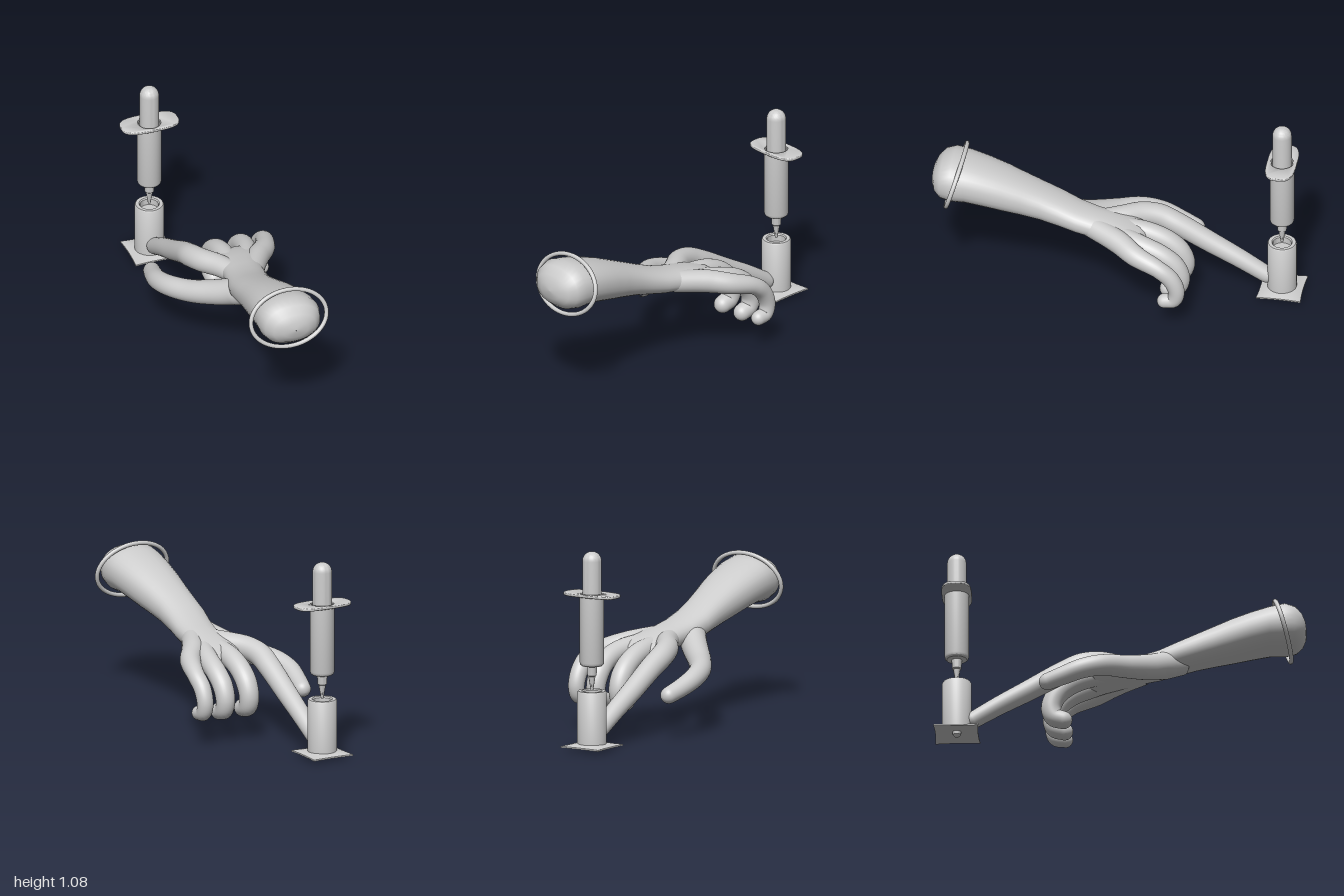
import * as THREE from 'three';
import { toCreasedNormals } from 'three/addons/utils/BufferGeometryUtils.js';

const V = (x, y, z) => new THREE.Vector3(x, y, z);
const SIDES = 32;

// Smooth skin over rings { c, t, rx, ry, n }: centre, direction, radii, squareness
function loft(rings) {
  const pos = [], idx = [];
  rings.forEach(({ c, t, rx, ry, n = 2 }, i) => {
    const s = V(1, 0, 0).addScaledVector(t, -t.x).normalize();
    const u = t.clone().cross(s);
    for (let j = 0; j < SIDES; j++) {
      const a = (j / SIDES) * Math.PI * 2;
      const f = (v) => Math.sign(v) * Math.abs(v) ** (2 / n);
      const p = c.clone().addScaledVector(s, rx * f(Math.cos(a))).addScaledVector(u, ry * f(Math.sin(a)));
      pos.push(p.x, p.y, p.z);
      if (i < rings.length - 1) {
        const k = (j + 1) % SIDES, a0 = i * SIDES + j, b0 = i * SIDES + k;
        idx.push(a0, b0, a0 + SIDES, b0, b0 + SIDES, a0 + SIDES);
      }
    }
  });
  const g = new THREE.BufferGeometry();
  g.setAttribute('position', new THREE.Float32BufferAttribute(pos, 3));
  g.setIndex(idx);
  g.computeVertexNormals();
  return g;
}

// Finger along points [x, y, z, radius] with a round tip
function finger(points) {
  const curve = new THREE.CatmullRomCurve3(points.map((p) => V(p[0], p[1], p[2])));
  const last = points.length - 1, steps = last * 6, rings = [];
  for (let i = 0; i <= steps; i++) {
    const t = i / steps, k = Math.min(Math.floor(t * last), last - 1);
    const r = THREE.MathUtils.lerp(points[k][3], points[k + 1][3], t * last - k);
    rings.push({ c: curve.getPoint(t), t: curve.getTangent(t), rx: r, ry: r });
  }
  const end = rings[steps];
  for (let i = 1; i <= 8; i++) {
    const a = (i / 8) * Math.PI / 2, r = Math.max(end.rx * Math.cos(a), 0.0005);
    rings.push({ c: end.c.clone().addScaledVector(end.t, end.rx * Math.sin(a)), t: end.t, rx: r, ry: r });
  }
  return loft(rings);
}

// Turned part with crisp edges from [radius, y] pairs
const turned = (profile) =>
  toCreasedNormals(new THREE.LatheGeometry(profile.map((p) => new THREE.Vector2(...p)), 40), 0.6);

export function createModel() {
  const model = new THREE.Group();
  const grey = new THREE.MeshStandardMaterial({ color: 0xcccccc });
  grey.name = 'plain grey';
  const add = (name, geometry, parent = model) => {
    const m = new THREE.Mesh(geometry, grey);
    m.name = name;
    parent.add(m);
    return m;
  };

  // Forearm, wrist and palm: z, centre x, centre y, half width, half height
  const arm = [
    [0.993, 0.04, 0.665, 0.001, 0.001], [0.988, 0.04, 0.665, 0.07, 0.045],
    [0.97, 0.04, 0.667, 0.12, 0.083], [0.935, 0.04, 0.671, 0.157, 0.117],
    [0.88, 0.04, 0.674, 0.172, 0.132], [0.8, 0.04, 0.667, 0.168, 0.123],
    [0.7, 0.038, 0.642, 0.158, 0.118], [0.6, 0.035, 0.612, 0.145, 0.112],
    [0.5, 0.031, 0.579, 0.13, 0.101], [0.4, 0.028, 0.545, 0.12, 0.09],
    [0.3, 0.03, 0.51, 0.118, 0.08], [0.2, 0.045, 0.48, 0.113, 0.071],
    [0.1, 0.06, 0.462, 0.108, 0.066], [0, 0.075, 0.445, 0.12, 0.065],
    [-0.08, 0.085, 0.43, 0.14, 0.058], [-0.14, 0.09, 0.42, 0.13, 0.048],
    [-0.17, 0.09, 0.415, 0.1, 0.03], [-0.182, 0.09, 0.413, 0.001, 0.001],
  ];
  const hand = new THREE.Group();
  hand.name = 'hand';
  model.add(hand);
  add('forearmAndPalm', loft(arm.map(([z, x, y, rx, ry]) =>
    ({ c: V(x, y, z), t: V(0, 0, -1), rx, ry, n: 2.25 }))), hand);

  add('thumb', finger([
    [0.03, 0.48, 0.33, 0.06], [-0.02, 0.45, 0.24, 0.075], [-0.1, 0.405, 0.15, 0.07],
    [-0.21, 0.36, 0.03, 0.062], [-0.29, 0.335, -0.09, 0.057], [-0.315, 0.305, -0.2, 0.054],
    [-0.305, 0.27, -0.3, 0.05], [-0.288, 0.243, -0.385, 0.046],
  ]), hand);
  add('indexFinger', finger([
    [0.03, 0.455, 0.1, 0.055], [-0.03, 0.45, -0.02, 0.06], [-0.095, 0.437, -0.12, 0.063],
    [-0.124, 0.415, -0.21, 0.063], [-0.126, 0.37, -0.31, 0.061], [-0.125, 0.265, -0.5, 0.056],
    [-0.122, 0.185, -0.65, 0.051], [-0.12, 0.1, -0.795, 0.046],
  ]), hand);

  // Three curled fingers share the same hook: knuckle, bend, tip
  const curled = (name, x, r, lift, root) => add(name, finger([
    ...root, [x, 0.375, -0.28, r], [x, 0.315, -0.35, r], [x, 0.24, -0.38, r * 0.95],
    [x, 0.185, -0.365, r * 0.9], [x, 0.163 + lift, -0.315, r * 0.85],
  ]), hand);
  curled('middleFinger', 0.04, 0.057, 0.003, [[0.04, 0.435, -0.05, 0.055], [0.04, 0.415, -0.18, 0.057]]);
  curled('ringFinger', 0.187, 0.055, 0.003, [[0.12, 0.44, -0.02, 0.055], [0.172, 0.415, -0.17, 0.056]]);
  curled('littleFinger', 0.313, 0.047, 0.01, [
    [0.1, 0.46, 0.12, 0.06], [0.19, 0.44, -0.04, 0.063], [0.27, 0.415, -0.15, 0.057]]);

  // Loose tilted bracelet
  const loop = Array.from({ length: 24 }, (_, i) => {
    const a = (i / 24) * Math.PI * 2;
    return V(0.0425 + 0.215 * Math.cos(a), 0.667 + 0.152 * Math.sin(a), 0.865 - 0.045 * Math.sin(a));
  });
  add('bracelet', new THREE.TubeGeometry(new THREE.CatmullRomCurve3(loop, true), 80, 0.012, 12, true));

  // Syringe standing above the fingertip
  const syringe = new THREE.Group();
  syringe.name = 'syringe';
  syringe.position.set(-0.123, 0, -0.88);
  model.add(syringe);
  add('barrel', turned([
    [0, 0.325], [0.007, 0.325], [0.011, 0.35], [0.019, 0.4], [0.025, 0.405], [0.028, 0.455],
    [0.054, 0.458], [0.063, 0.466], [0.066, 0.478], [0.066, 0.845], [0.057, 0.845], [0.057, 0.8], [0, 0.8],
  ]), syringe);
  const dome = Array.from({ length: 11 }, (_, i) => {
    const a = (i / 10) * Math.PI / 2;
    return [0.052 * Math.cos(a), 1.028 + 0.052 * Math.sin(a)];
  });
  add('plunger', turned([[0.052, 0.79], ...dome]), syringe);

  // Finger flange: rounded oblong with a hole for the plunger
  const outline = Array.from({ length: 64 }, (_, i) => {
    const a = (i / 64) * Math.PI * 2, f = (v) => Math.sign(v) * Math.abs(v) ** 0.62;
    return new THREE.Vector2(0.156 * f(Math.cos(a)), 0.075 * f(Math.sin(a)));
  });
  const plate = new THREE.Shape(outline);
  plate.holes.push(new THREE.Path().absarc(0, 0, 0.068, 0, Math.PI * 2, true));
  const flange = new THREE.ExtrudeGeometry(plate, {
    depth: 0.006, bevelThickness: 0.006, bevelSize: 0.006, bevelSegments: 3, curveSegments: 32,
  });
  flange.rotateX(-Math.PI / 2).translate(0, 0.842, 0);
  add('flange', toCreasedNormals(flange, 0.8), syringe);

  // Vial with a recessed mouth
  add('vial', turned([
    [0, 0.03], [0.079, 0.03], [0.079, 0.314], [0.074, 0.322], [0.055, 0.322],
    [0.05, 0.315], [0.05, 0.28], [0, 0.28],
  ]), syringe);

  // Square foot, gently domed, with a small nub below
  const foot = new THREE.BoxGeometry(0.242, 0.008, 0.242, 16, 1, 16);
  const p = foot.attributes.position;
  for (let i = 0; i < p.count; i++) {
    const u = p.getX(i) / 0.121, v = p.getZ(i) / 0.121;
    p.setY(i, p.getY(i) + 0.021 + 0.02 * (1 - u * u) * (1 - v * v));
    p.setX(i, p.getX(i) * (1 - 0.05 * (1 - v * v)));
    p.setZ(i, p.getZ(i) * (1 - 0.05 * (1 - u * u)));
  }
  add('foot', toCreasedNormals(foot, 0.6), syringe);
  add('footNub', turned([[0, 0], [0.01, 0.002], [0.022, 0.014], [0.025, 0.036]]), syringe);

  return model;
}
